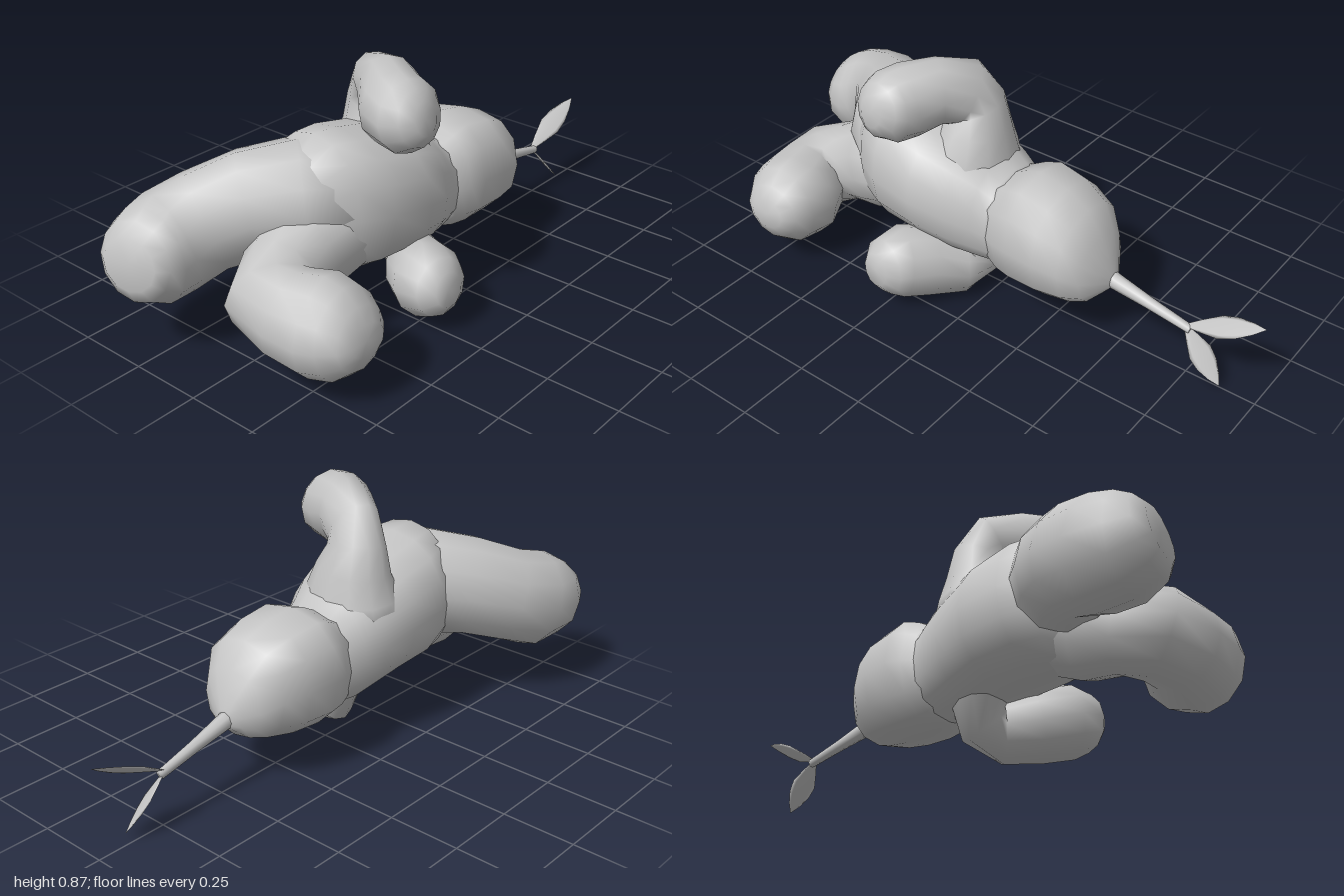
import * as THREE from 'three';

const grey = new THREE.MeshStandardMaterial({ color: 0xc4c4c4 });
grey.name = 'plain grey';

// Closed sweep through rings [x, y, z, r1, r2]; r1 lies along ref, power < 1 squares
// the section, and axis (if given) keeps all the rings parallel
function sweep(name, rings, ref, sides = 12, power = 1, axis = null) {
  const centres = rings.map(r => new THREE.Vector3(r[0], r[1], r[2]));
  const last = rings.length - 1;
  const positions = [], index = [];
  const bend = v => Math.sign(v) * Math.pow(Math.abs(v), power);
  rings.forEach((r, i) => {
    const t = axis
      ? new THREE.Vector3(...axis)
      : centres[Math.min(i + 1, last)].clone().sub(centres[Math.max(i - 1, 0)]).normalize();
    const u = new THREE.Vector3(...ref).projectOnPlane(t).normalize();
    const v = new THREE.Vector3().crossVectors(t, u);
    for (let j = 0; j < sides; j++) {
      const a = (j / sides) * Math.PI * 2;
      const p = centres[i].clone()
        .addScaledVector(u, bend(Math.cos(a)) * r[3])
        .addScaledVector(v, bend(Math.sin(a)) * (r[4] ?? r[3]));
      positions.push(p.x, p.y, p.z);
    }
  });
  for (let i = 0; i < last; i++) {
    for (let j = 0; j < sides; j++) {
      const k = (j + 1) % sides;
      const a = i * sides + j, b = i * sides + k;
      index.push(a, b, b + sides, a, b + sides, a + sides);
    }
  }
  // End caps
  const start = positions.length / 3;
  positions.push(...centres[0].toArray(), ...centres[last].toArray());
  for (let j = 0; j < sides; j++) {
    const k = (j + 1) % sides;
    index.push(start, k, j, start + 1, last * sides + j, last * sides + k);
  }
  const geometry = new THREE.BufferGeometry();
  geometry.setAttribute('position', new THREE.Float32BufferAttribute(positions, 3));
  geometry.setIndex(index);
  geometry.computeVertexNormals();
  const mesh = new THREE.Mesh(geometry, grey);
  mesh.name = name;
  return mesh;
}

// Thin pointed blade from base to tip
function leaf(name, base, tip, across, width) {
  const a = new THREE.Vector3(...base), b = new THREE.Vector3(...tip);
  const rings = [[0, 0.12], [0.2, 0.55], [0.45, 1], [0.65, 0.9], [0.85, 0.5], [1, 0.03]]
    .map(([f, w]) => [...a.clone().lerp(b, f).toArray(), w * width, 0.003 * w + 0.0005]);
  return sweep(name, rings, across, 8);
}

export function createModel() {
  const model = new THREE.Group();
  model.name = 'sproutCreature';
  const X = [1, 0, 0], Y = [0, 1, 0];

  // Torso lying along x, wide at the hips, running into the neck
  model.add(sweep('body', [
    [-0.58, 0.40, 0.00, 0.12, 0.08],
    [-0.53, 0.41, 0.00, 0.20, 0.13],
    [-0.46, 0.43, 0.005, 0.24, 0.19],
    [-0.36, 0.425, 0.012, 0.235, 0.235],
    [-0.20, 0.405, 0.016, 0.218, 0.243],
    [-0.08, 0.37, 0.01, 0.205, 0.215],
    [0.00, 0.34, 0.00, 0.19, 0.185],
    [0.05, 0.325, 0.00, 0.172, 0.168],
    [0.10, 0.325, 0.00, 0.16, 0.155],
  ], Y, 16, 0.9, X));

  // Rounded square head, its face sloping down to the stem
  model.add(sweep('head', [
    [0.02, 0.325, 0.00, 0.158, 0.15],
    [0.06, 0.322, 0.00, 0.174, 0.168],
    [0.10, 0.328, 0.002, 0.19, 0.187],
    [0.16, 0.336, 0.003, 0.203, 0.202],
    [0.27, 0.33, 0.01, 0.191, 0.197],
    [0.36, 0.318, 0.02, 0.164, 0.172],
    [0.415, 0.285, 0.022, 0.115, 0.125],
    [0.445, 0.265, 0.018, 0.065, 0.07],
    [0.465, 0.25, 0.012, 0.03, 0.03],
  ], Y, 12, 0.82, X));

  // Stem with two leaves
  model.add(sweep('stem', [
    [0.43, 0.25, 0.01, 0.035],
    [0.47, 0.242, 0.01, 0.028],
    [0.60, 0.212, 0.005, 0.02],
    [0.75, 0.178, 0.00, 0.015],
  ], Y, 8));
  model.add(leaf('upperLeaf', [0.73, 0.185, 0], [1, 0.31, 0], [-0.25, 0.5, -0.8], 0.04));
  model.add(leaf('lowerLeaf', [0.73, 0.185, 0], [0.88, 0.025, 0.02], [-0.4, -0.3, 0.86], 0.041));

  // Arms rise from flared shoulders, then bend toward the front
  model.add(sweep('upperArm', [
    [-0.14, 0.42, -0.01, 0.19, 0.20],
    [-0.125, 0.52, -0.015, 0.145, 0.17],
    [-0.12, 0.60, -0.02, 0.115, 0.135],
    [-0.125, 0.68, -0.028, 0.09, 0.106],
    [-0.145, 0.73, 0.00, 0.083, 0.112],
    [-0.20, 0.752, 0.08, 0.098, 0.115],
    [-0.262, 0.733, 0.16, 0.117, 0.128],
    [-0.285, 0.732, 0.235, 0.118, 0.12],
    [-0.29, 0.74, 0.28, 0.09, 0.092],
    [-0.292, 0.745, 0.305, 0.045, 0.055],
  ], X));
  model.add(sweep('lowerArm', [
    [-0.09, 0.33, 0.00, 0.15, 0.16],
    [-0.068, 0.215, 0.01, 0.10, 0.10],
    [-0.065, 0.122, 0.045, 0.078, 0.105],
    [-0.09, 0.107, 0.10, 0.09, 0.108],
    [-0.17, 0.13, 0.18, 0.112, 0.125],
    [-0.232, 0.153, 0.27, 0.122, 0.127],
    [-0.25, 0.16, 0.335, 0.098, 0.10],
    [-0.255, 0.165, 0.372, 0.055, 0.06],
  ], X));

  // Stretched leg reaching back and down
  model.add(sweep('backLeg', [
    [-0.36, 0.44, 0.04, 0.18],
    [-0.48, 0.45, -0.04, 0.195, 0.18],
    [-0.59, 0.43, -0.155, 0.18, 0.165],
    [-0.70, 0.385, -0.245, 0.172, 0.153],
    [-0.81, 0.345, -0.283, 0.178, 0.156],
    [-0.90, 0.335, -0.278, 0.165, 0.154],
    [-0.96, 0.345, -0.265, 0.13, 0.132],
    [-0.99, 0.35, -0.258, 0.085, 0.095],
  ], Y));

  // Bent leg with the foot turned to the front
  model.add(sweep('frontLeg', [
    [-0.36, 0.37, 0.02, 0.14, 0.17],
    [-0.45, 0.345, 0.025, 0.165, 0.17],
    [-0.54, 0.31, 0.03, 0.168, 0.145],
    [-0.65, 0.275, 0.04, 0.145, 0.135],
    [-0.73, 0.25, 0.09, 0.145, 0.155],
    [-0.742, 0.235, 0.17, 0.15, 0.143],
    [-0.715, 0.225, 0.27, 0.165, 0.163],
    [-0.71, 0.227, 0.35, 0.148, 0.145],
    [-0.705, 0.23, 0.405, 0.10, 0.11],
    [-0.705, 0.235, 0.432, 0.05, 0.07],
  ], Y));

  return model;
}
